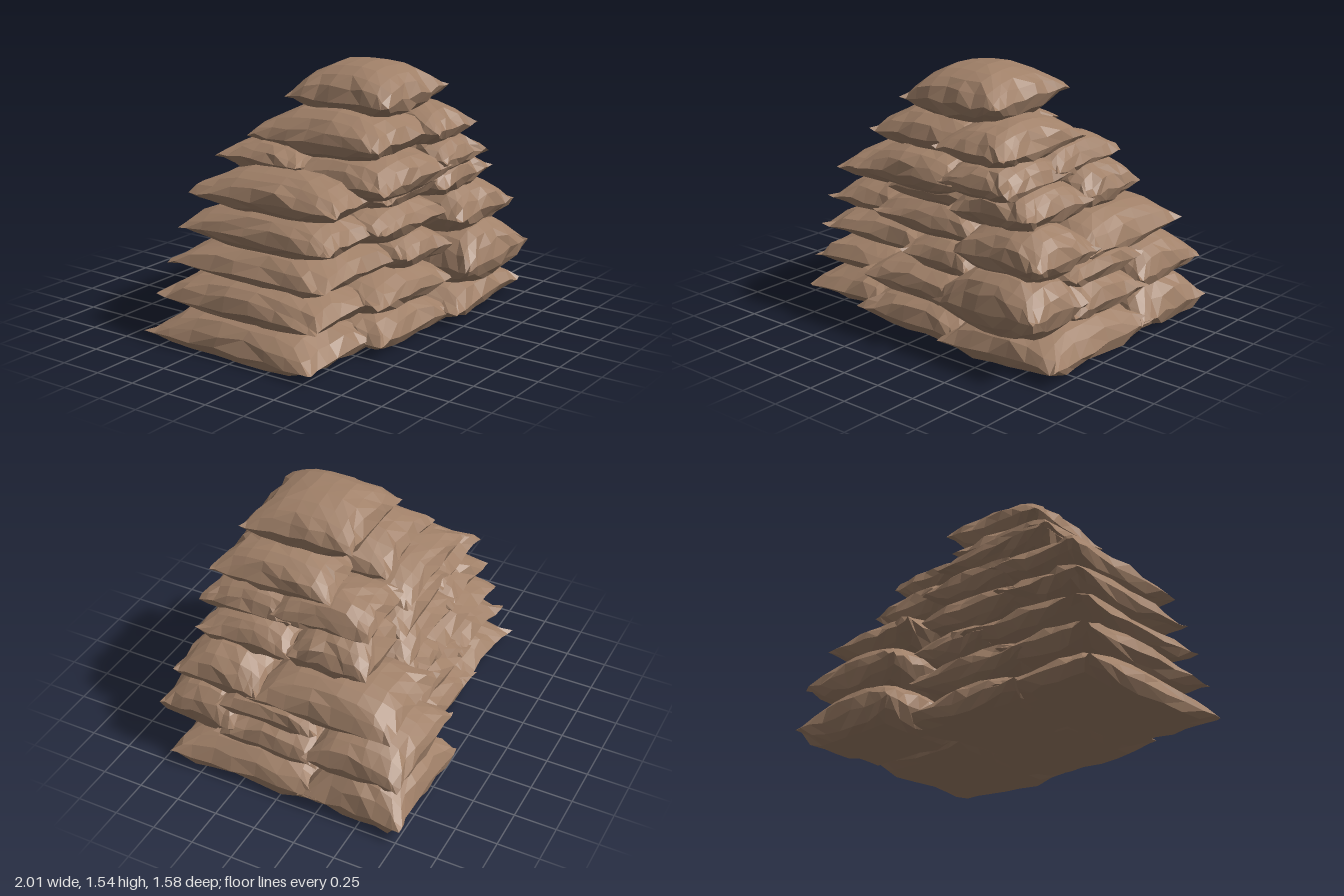
import * as THREE from 'three';

// Small seeded generator for the cloth wrinkles
function seeded(seed) {
  let s = seed * 7919 + 17;
  return () => {
    s = (s * 16807) % 2147483647;
    return s / 2147483647 - 0.5;
  };
}

// Low-poly pillow: two domed grids that share a pinched seam with pointed corners;
// nothing goes below floor, so sunken sacks get a flat base
function sackGeometry(w, h, d, floor, seed) {
  const N = 9;
  const rnd = seeded(seed);
  const steps = Array.from({ length: N + 1 }, (_, i) => Math.sin((i / N - 0.5) * Math.PI * 0.88) / Math.sin(Math.PI * 0.44));
  const seamY = h * 0.4;
  const skew = rnd() * 0.06;
  const tilt = rnd() * 0.04;
  const onRing = (i, r) => i === r || i === N - r;

  const halves = [1, -1].map((side) => steps.map((v, j) => steps.map((u, i) => {
    const edge = onRing(i, 0) || onRing(j, 0);
    const near = !edge && (onRing(i, 1) || onRing(j, 1));
    const bulge = edge ? 0 : Math.pow((1 - Math.abs(u) ** 2.4) * (1 - Math.abs(v) ** 2.4), 0.58);
    const amount = near ? 0.035 : 0.015;
    const x = u * (1 - 0.06 * (1 - v * v) * u * u) + skew * v;
    const z = v * (1 - 0.06 * (1 - u * u) * v * v) - skew * u;
    const wrinkle = near ? 0.03 : edge ? 0.025 : side > 0 ? 0.012 : 0;
    const seam = seamY + tilt * u * Math.abs(u);
    const y = side > 0 ? seam + (h - seam) * bulge : seam * (1 - Math.min(1, bulge * 1.4));
    return new THREE.Vector3(x * w / 2 + rnd() * amount, Math.max(floor, y + rnd() * wrinkle), z * d / 2 + rnd() * amount);
  })));

  // The lower half takes its seam points from the upper half
  const [top, bottom] = halves;
  bottom.forEach((row, j) => row.forEach((p, i) => {
    if (onRing(i, 0) || onRing(j, 0)) p.copy(top[j][i]);
  }));

  const points = [];
  halves.forEach((g, k) => {
    for (let j = 0; j < N; j++) for (let i = 0; i < N; i++) {
      const a = g[j][i], b = g[j][i + 1], c = g[j + 1][i + 1], e = g[j + 1][i];
      const tris = (i < N / 2) === (j < N / 2) ? [[a, e, c], [a, c, b]] : [[a, e, b], [b, e, c]];
      tris.forEach(([p, q, r]) => points.push(...(k === 0 ? [p, q, r] : [p, r, q])));
    }
  });
  const geometry = new THREE.BufferGeometry().setFromPoints(points);
  geometry.computeVertexNormals();
  return geometry;
}

export function createModel() {
  const group = new THREE.Group();
  group.name = 'sackPile';
  const burlap = new THREE.MeshStandardMaterial({ color: 0xa08068 });
  burlap.name = 'burlap';

  function addSack(name, x0, x1, z0, z1, y0, y1) {
    const geometry = sackGeometry(x1 - x0, y1 - y0, z1 - z0, Math.max(0, -y0), group.children.length + 1);
    const mesh = new THREE.Mesh(geometry, burlap);
    mesh.position.set((x0 + x1) / 2, y0, (z0 + z1) / 2);
    mesh.name = name;
    group.add(mesh);
  }

  // Left and middle columns: five courses that step inwards, with staggered joints
  [-0.4, -0.4, -0.1, -0.32, -0.25].forEach((joint, k) => {
    const y0 = 0.193 * k - (k === 0 ? 0.04 : 0.01);
    const y1 = 0.193 * k + 0.23;
    addSack('leftSack', -1 + 0.06 * k, joint + 0.08, -0.6 + 0.033 * k, 0.56 - 0.01 * k, y0, y1);
    addSack('middleBackSack', joint - 0.08, 0.35, -0.58 + 0.03 * k, 0.1, y0, y1);
    addSack('middleFrontSack', joint - 0.08, 0.34, -0.1, 0.66 - 0.02 * k, y0, y1);
  });

  // Right column, bottom to top: x from, x to, z from, z to, y from, y to
  [
    [0.19, 1, -0.24, 0.72, -0.04, 0.27],
    [0.25, 1, -0.78, -0.14, -0.04, 0.32],
    [0.24, 0.94, 0.3, 0.79, 0.21, 0.56],
    [0.25, 0.95, -0.24, 0.42, 0.2, 0.46],
    [0.25, 0.97, -0.75, -0.15, 0.24, 0.54],
    [0.22, 0.93, -0.22, 0.42, 0.4, 0.61],
    [0.27, 0.9, 0.16, 0.7, 0.5, 0.79],
    [0.25, 0.89, -0.66, 0.24, 0.49, 0.76],
    [0.19, 0.76, 0.03, 0.63, 0.73, 0.98],
    [0.18, 0.75, -0.43, 0.07, 0.73, 1.01],
  ].forEach((box) => addSack('rightSack', ...box));

  // Upper courses and the crown
  [
    [-0.54, 0.24, -0.45, 0.12, 0.93, 1.13],
    [-0.48, 0.25, -0.04, 0.66, 0.84, 1.1],
    [0.16, 0.65, 0.08, 0.66, 0.89, 1.11],
    [0.14, 0.64, -0.39, 0.22, 0.93, 1.15],
    [-0.43, 0.25, -0.3, 0.57, 1.04, 1.31],
    [0.1, 0.58, -0.12, 0.63, 1.05, 1.29],
  ].forEach((box) => addSack('upperSack', ...box));
  addSack('crownSack', -0.25, 0.43, -0.17, 0.51, 1.25, 1.54);

  return group;
}
